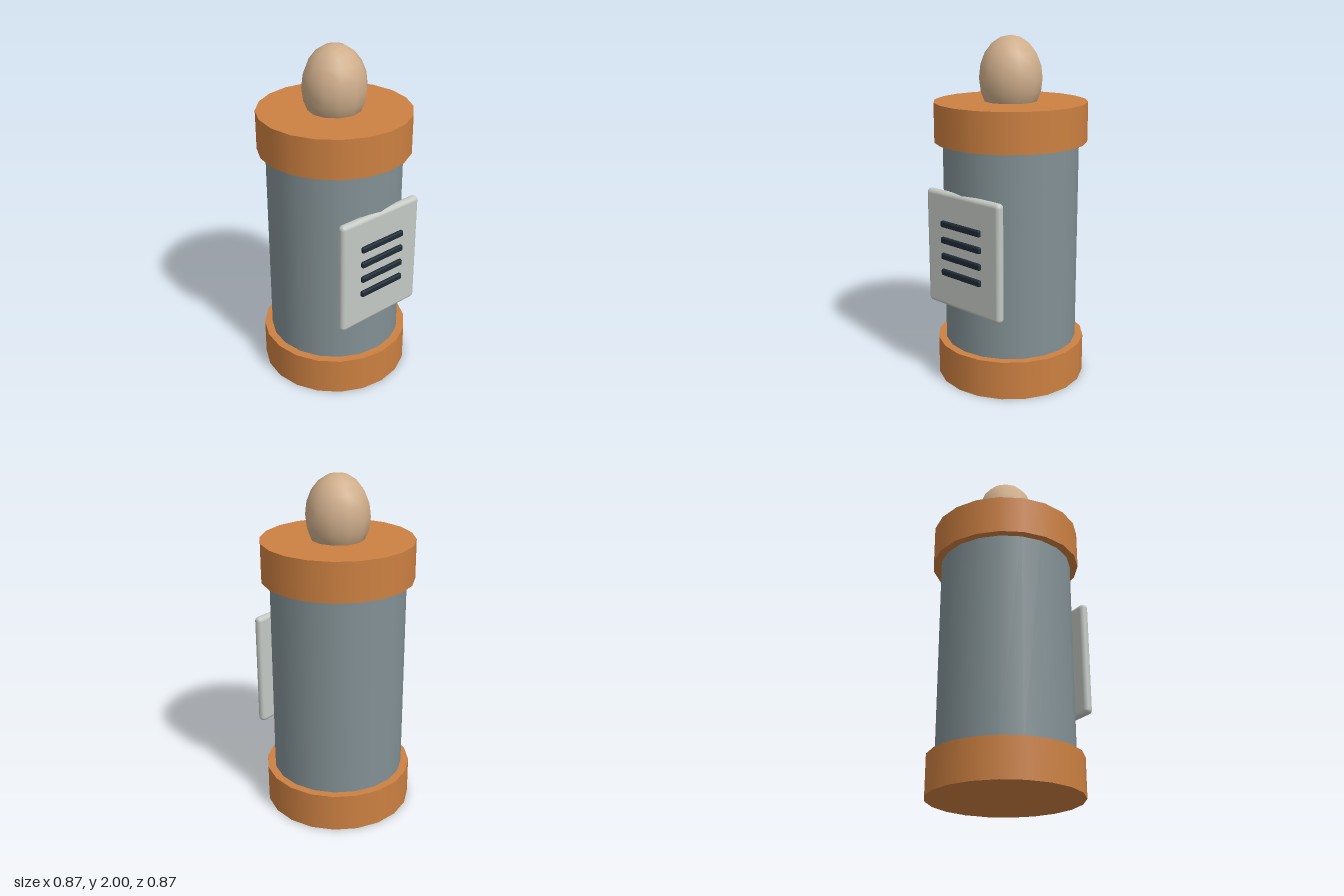
import * as THREE from 'three';
import { RoundedBoxGeometry } from 'three/addons/geometries/RoundedBoxGeometry.js';

function material(name, color) {
  const m = new THREE.MeshStandardMaterial({ color });
  m.name = name;
  return m;
}

export function createModel() {
  const group = new THREE.Group();
  const orange = material('orange', 0xcc8041);
  const steel = material('steelGrey', 0x829094);
  const pale = material('paleGrey', 0xc4c9c4);
  const dark = material('darkSlate', 0x1f2b35);
  const tan = material('tan', 0xcfae8b);

  const add = (name, geometry, mat, x, y, z) => {
    const mesh = new THREE.Mesh(geometry, mat);
    mesh.name = name;
    mesh.position.set(x, y, z);
    group.add(mesh);
    return mesh;
  };

  // Main drum, its ends hidden inside the two collars
  add('body', new THREE.CylinderGeometry(0.39, 0.39, 1.3, 20), steel, 0, 0.82, 0);

  // Bottom and top collars
  const collar = new THREE.CylinderGeometry(0.437, 0.437, 0.226, 20);
  add('baseCollar', collar, orange, 0, 0.113, 0);
  add('topCollar', collar, orange, 0, 1.523, 0);

  // Egg-shaped knob sunk into the top collar
  const knob = add('knob', new THREE.SphereGeometry(0.183, 12, 10), tan, 0, 1.765, 0);
  knob.scale.y = 0.235 / 0.183;

  // Front panel with four vent slots
  add('frontPanel', new RoundedBoxGeometry(0.57, 0.68, 0.052, 3, 0.025), pale, 0, 0.814, 0.376);
  const slot = new RoundedBoxGeometry(0.305, 0.036, 0.03, 2, 0.008);
  for (let i = 0; i < 4; i++) {
    add('ventSlot', slot, dark, 0, 0.683 + i * 0.0955, 0.405);
  }

  return group;
}
